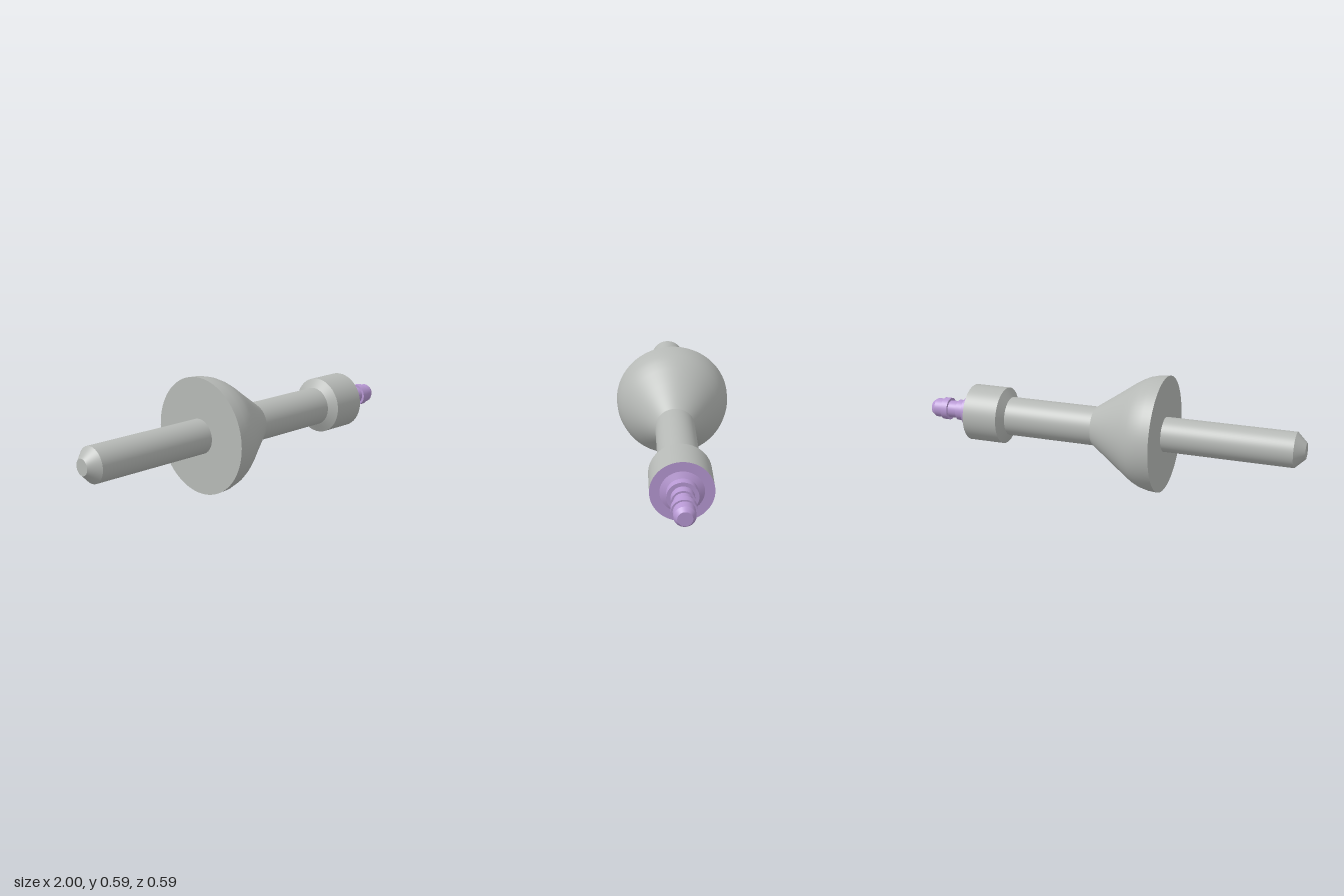
import * as THREE from 'three';
import { mergeGeometries } from 'three/addons/utils/BufferGeometryUtils.js';

const AXIS_Y = 0.294;
const SEGMENTS = 72;

// Smooth surface of revolution about the x axis; profile is [x, radius] pairs
function revolve(profile) {
  const points = profile.map(([x, r]) => new THREE.Vector2(r, x));
  return new THREE.LatheGeometry(points, SEGMENTS).rotateZ(-Math.PI / 2);
}

// Same, but with a hard edge at every profile point
function revolveSharp(profile) {
  return mergeGeometries(profile.slice(1).map((p, i) => revolve([profile[i], p])));
}

export function createModel() {
  const model = new THREE.Group();
  model.name = 'flaredSpindle';
  const grey = new THREE.MeshStandardMaterial({ color: 0xb6b9b6 });
  grey.name = 'grey metal';
  const purple = new THREE.MeshStandardMaterial({ color: 0xb899d4 });
  purple.name = 'purple';

  const add = (name, geometry, material) => {
    const mesh = new THREE.Mesh(geometry, material);
    mesh.name = name;
    mesh.position.y = AXIS_Y;
    model.add(mesh);
  };

  // Rear shaft with chamfered tip
  add('rearShaft', revolveSharp([[-1, 0], [-1, 0.04], [-0.95, 0.088], [-0.296, 0.088]]), grey);

  // Flared horn: flat back, rounded rim, cone narrowing to the neck
  add('hornBack', revolve([[-0.296, 0.088], [-0.296, 0.294]]), grey);
  add('horn', revolve([
    [-0.296, 0.294], [-0.25, 0.291], [-0.205, 0.28], [-0.17, 0.264],
    [-0.13, 0.239], [-0.06, 0.19], [0, 0.149], [0.072, 0.1],
  ]), grey);

  // Neck and chamfered collar
  add('neck', revolve([[0.072, 0.1], [0.543, 0.1]]), grey);
  add('collar', revolveSharp([[0.543, 0.1], [0.571, 0.147], [0.757, 0.147]]), grey);

  // Collar face and stepped nozzle
  add('collarFace', revolve([[0.757, 0.147], [0.757, 0.101]]), purple);
  add('nozzle', revolveSharp([
    [0.757, 0.101], [0.77, 0.073], [0.808, 0.073], [0.808, 0.054],
    [0.85, 0.054], [0.85, 0.045], [0.9, 0.045], [0.9, 0.058],
    [0.935, 0.058], [0.935, 0.05], [0.978, 0.049], [1, 0.034], [1, 0],
  ]), purple);

  return model;
}
